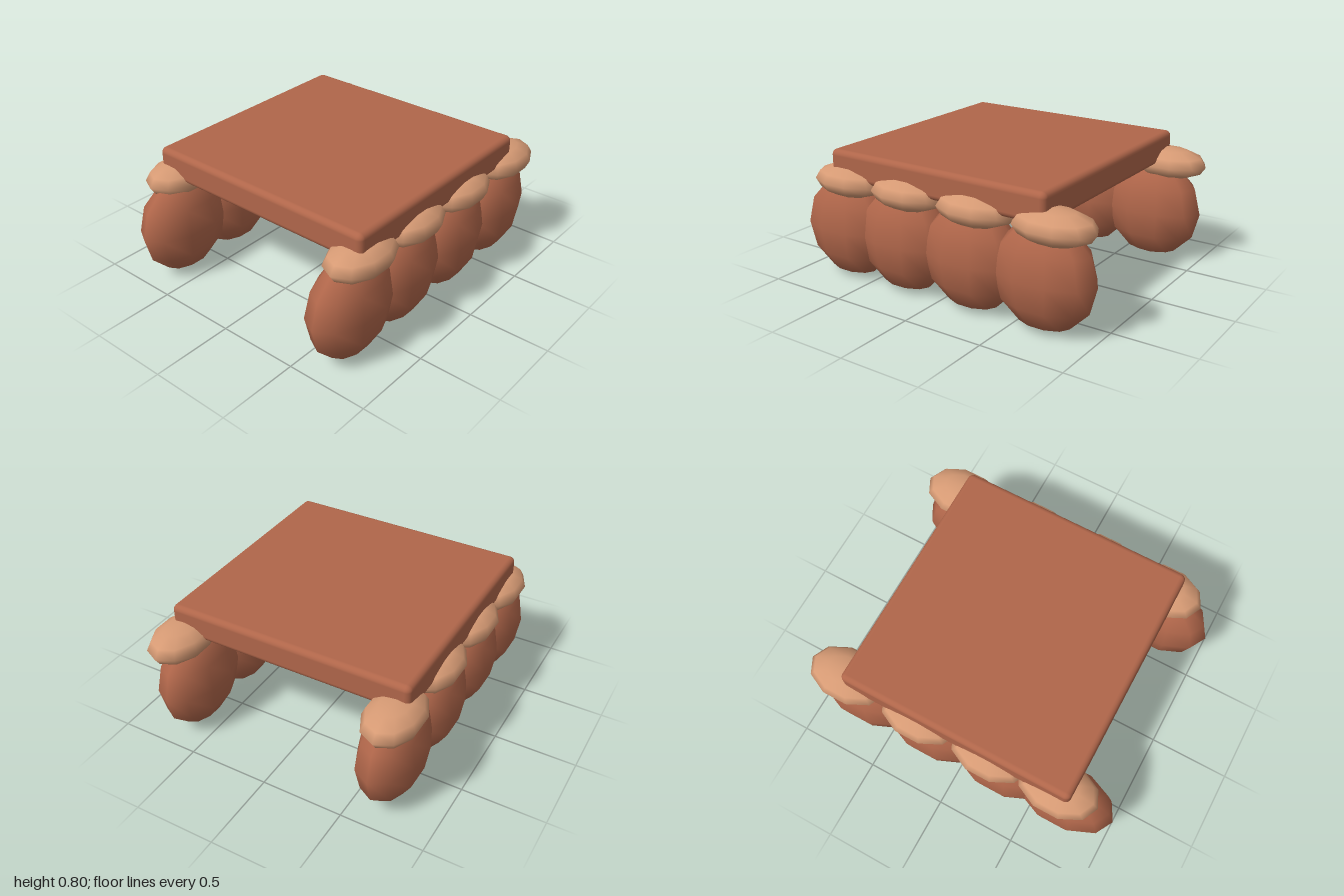
import * as THREE from 'three';
import { RoundedBoxGeometry } from 'three/addons/geometries/RoundedBoxGeometry.js';

export function createModel() {
  const model = new THREE.Group();
  model.name = 'cushionTable';

  const clay = new THREE.MeshStandardMaterial({ color: 0xb0664a });
  clay.name = 'clay brown';
  const tan = new THREE.MeshStandardMaterial({ color: 0xd69a74 });
  tan.name = 'light tan';

  // Flat slab with softly rounded edges
  const slab = new THREE.Mesh(new RoundedBoxGeometry(1.52, 0.18, 1.47, 3, 0.035), clay);
  slab.name = 'slab';
  slab.position.y = 0.713;
  model.add(slab);

  // Coarse ten-sided ball with a corner pointing along z
  const ball = new THREE.SphereGeometry(1, 10, 6).rotateY(Math.PI / 2);

  function addBall(name, material, position, radii) {
    const mesh = new THREE.Mesh(ball, material);
    mesh.name = name;
    mesh.position.set(...position);
    mesh.scale.set(...radii);
    model.add(mesh);
  }

  // A row of four rounded legs with tan caps along each side
  const legZ = [0.685, 0.265, -0.21, -0.68];
  const capZ = [0.64, 0.205, -0.26, -0.75];
  for (const [side, sx] of [['left', 1], ['right', -1]]) {
    legZ.forEach((z, i) => {
      addBall(`${side}Leg${i + 1}`, clay, [sx * 0.657, 0.316, z], [0.181, 0.316, 0.315]);
      addBall(`${side}Cap${i + 1}`, tan, [sx * 0.687, 0.615, capZ[i]], [0.166, 0.098, 0.25]);
    });
  }

  return model;
}
